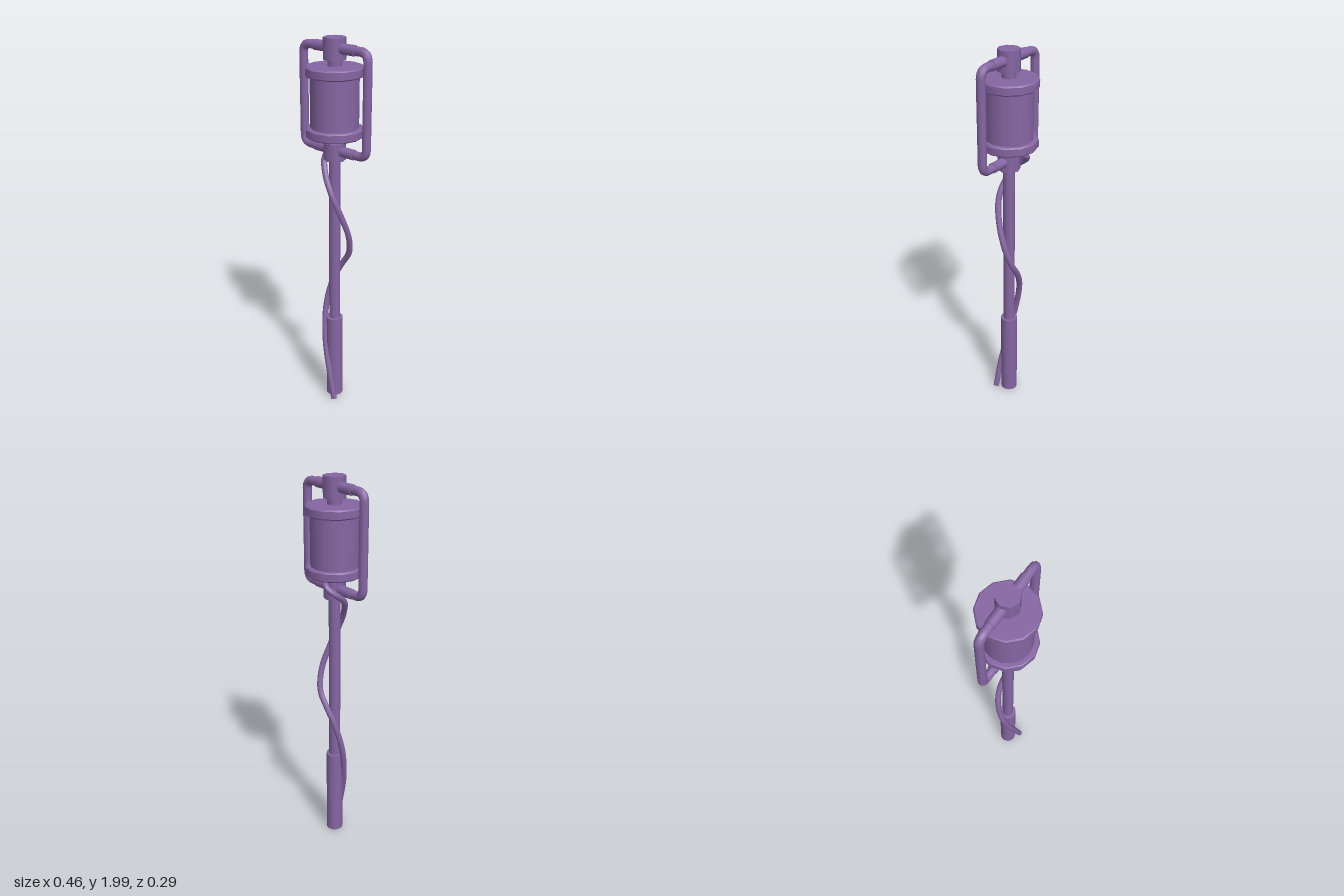
import * as THREE from 'three';

export function createModel() {
  const model = new THREE.Group();
  const purple = new THREE.MeshStandardMaterial({ color: 0x8666a3 });
  purple.name = 'purple';

  const add = (name, geometry) => {
    const mesh = new THREE.Mesh(geometry, purple);
    mesh.name = name;
    model.add(mesh);
    return mesh;
  };
  // Upright cylinder between two heights
  const post = (name, radius, y0, y1, sides) => {
    add(name, new THREE.CylinderGeometry(radius, radius, y1 - y0, sides)).position.y = (y0 + y1) / 2;
  };
  const v = (x, y, z = 0) => new THREE.Vector3(x, y, z);

  // Handle, pole and the two collars joined by a thin spindle
  post('handle', 0.045, 0.01, 0.5, 12);
  post('pole', 0.03, 0.5, 1.41, 10);
  post('lowerCollar', 0.056, 1.4, 1.49, 8);
  post('spindle', 0.035, 1.48, 1.91, 10);
  post('upperCollar', 0.056, 1.895, 2, 8);

  // Drum with a flange at each end
  post('drum', 0.12, 1.55, 1.835, 16);
  const flange = (name, y0, y1) => {
    post(name, 0.145, y0 + 0.006, y1 - 0.006, 12);
    const lip = (rTop, rBottom, y) =>
      add(name + 'Lip', new THREE.CylinderGeometry(rTop, rBottom, 0.006, 12)).position.y = y;
    lip(0.139, 0.145, y1 - 0.003);
    lip(0.145, 0.139, y0 + 0.003);
  };
  flange('upperFlange', 1.818, 1.865);
  flange('lowerFlange', 1.52, 1.567);

  // Bracket loops on both sides, with thicker sleeves at the collars
  const top = 1.95, bottom = 1.45, outer = 0.207, bend = 0.045;
  for (const side of [1, -1]) {
    const name = side > 0 ? 'left' : 'right';
    const path = new THREE.CurvePath();
    const x = side * outer, xi = side * (outer - bend);
    path.add(new THREE.LineCurve3(v(0, top), v(xi, top)));
    path.add(new THREE.QuadraticBezierCurve3(v(xi, top), v(x, top), v(x, top - bend)));
    path.add(new THREE.LineCurve3(v(x, top - bend), v(x, bottom + bend)));
    path.add(new THREE.QuadraticBezierCurve3(v(x, bottom + bend), v(x, bottom), v(xi, bottom)));
    path.add(new THREE.LineCurve3(v(xi, bottom), v(0, bottom)));
    add(name + 'Bracket', new THREE.TubeGeometry(path, 80, 0.022, 10));
    for (const y of [top, bottom]) {
      const sleeve = add(name + 'Sleeve', new THREE.CylinderGeometry(0.026, 0.026, 0.13, 10));
      sleeve.rotation.z = Math.PI / 2;
      sleeve.position.set(side * 0.065, y, 0);
    }
  }

  // Cable winding round the pole and looping behind the lower collar
  const route = [
    v(0.048, 0.01, 0.057), v(0.01, 0.17, 0.052), v(-0.035, 0.34, 0.036),
    v(-0.064, 0.54, 0.0), v(-0.045, 0.7, -0.036), v(0.0, 0.8, -0.056),
    v(0.05, 0.88, -0.056), v(0.074, 0.99, -0.026), v(0.058, 1.12, 0.02),
    v(0.022, 1.23, 0.048), v(-0.025, 1.32, 0.04), v(-0.068, 1.4, 0.0),
    v(-0.066, 1.44, -0.05), v(-0.035, 1.475, -0.08), v(0.0, 1.5, -0.06), v(0.012, 1.515, -0.02),
  ];
  const curve = new THREE.CatmullRomCurve3(route);
  add('cable', new THREE.TubeGeometry(curve, 90, 0.016, 8));
  // Flat ends closing the cable
  for (const t of [0, 1]) {
    const cap = add('cableEnd', new THREE.CircleGeometry(0.016, 8));
    cap.position.copy(curve.getPoint(t));
    cap.lookAt(cap.position.clone().addScaledVector(curve.getTangent(t), t ? 1 : -1));
  }

  return model;
}
